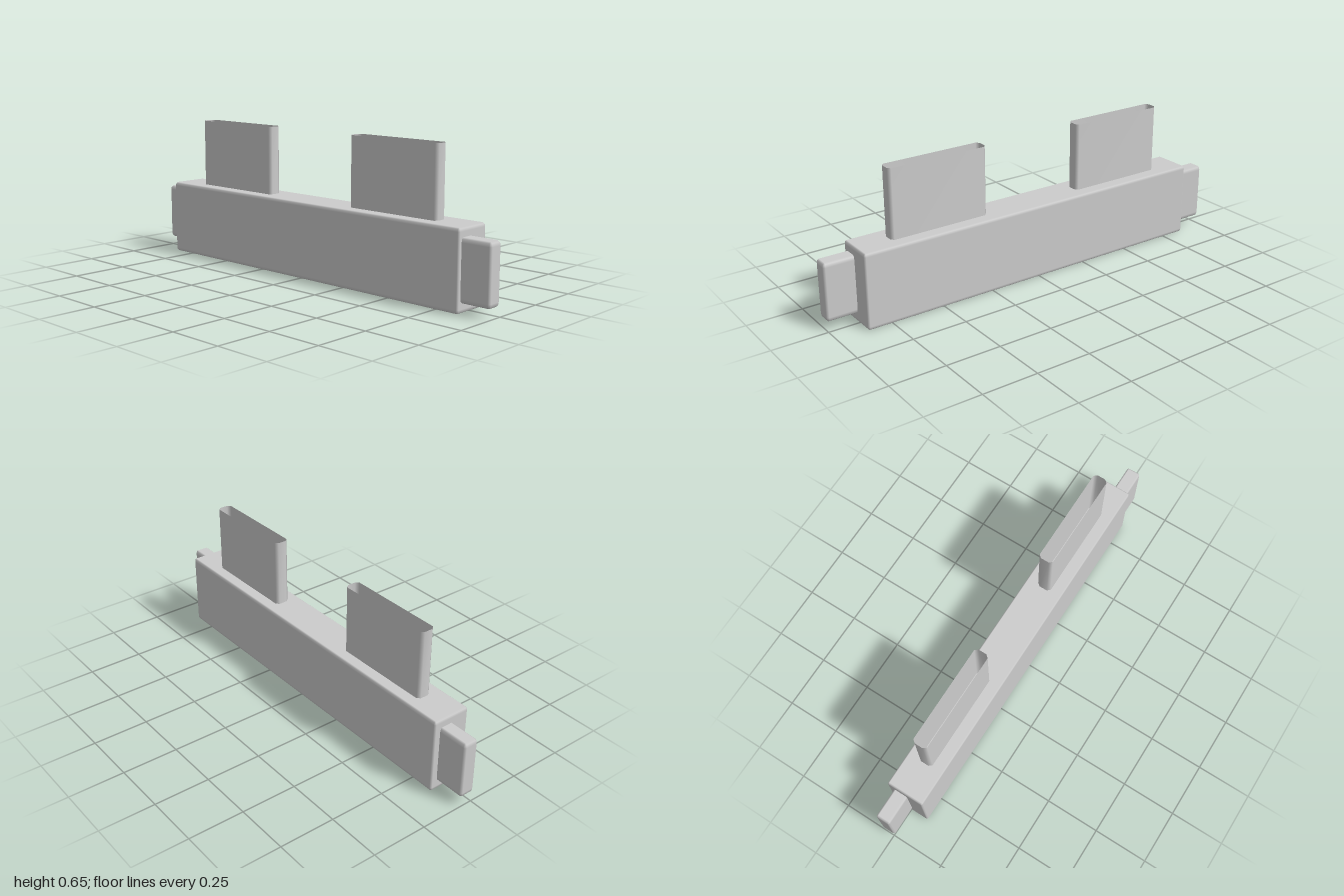
import * as THREE from 'three';
import { RoundedBoxGeometry } from 'three/addons/geometries/RoundedBoxGeometry.js';

const grey = new THREE.MeshStandardMaterial({ color: 0xcccccc });
grey.name = 'light grey';
const greySheet = new THREE.MeshStandardMaterial({ color: 0xcccccc, side: THREE.DoubleSide });
greySheet.name = 'light grey sheet';

// box with softened edges, the softening twice as tall as it is wide
function softBox(name, x0, x1, y0, y1, z0, z1, radius) {
  const geometry = new RoundedBoxGeometry(x1 - x0, (y1 - y0) / 2, z1 - z0, 1, radius);
  geometry.scale(1, 2, 1);
  const mesh = new THREE.Mesh(geometry, grey);
  mesh.name = name;
  mesh.position.set((x0 + x1) / 2, (y0 + y1) / 2, (z0 + z1) / 2);
  return mesh;
}

// thin open tube with a bevelled rectangular outline
function sleeveGeometry(halfX, halfZ, y0, y1, bevelX, bevelZ) {
  const a = halfX - bevelX, b = halfZ - bevelZ;
  const outline = [[halfX, -b], [halfX, b], [a, halfZ], [-a, halfZ],
    [-halfX, b], [-halfX, -b], [-a, -halfZ], [a, -halfZ]];
  const positions = [], index = [], n = outline.length;
  outline.forEach(([x, z], i) => {
    positions.push(x, y0, z, x, y1, z);
    const p = i * 2, q = ((i + 1) % n) * 2;
    index.push(p, p + 1, q, q, p + 1, q + 1);
  });
  const geometry = new THREE.BufferGeometry();
  geometry.setAttribute('position', new THREE.Float32BufferAttribute(positions, 3));
  geometry.setIndex(index);
  geometry.computeVertexNormals();
  return geometry;
}

export function createModel() {
  const model = new THREE.Group();
  model.name = 'barWithSleeves';

  // long body and the offset tab at each end
  model.add(softBox('body', -0.088, 0.088, 0, 0.343, -0.863, 0.863, 0.008));
  model.add(softBox('frontTab', -0.071, -0.003, 0.042, 0.304, 0.84, 1, 0.01));
  model.add(softBox('backTab', -0.01, 0.058, 0.042, 0.304, -1, -0.84, 0.01));

  // two open sleeves standing on the body
  const geometry = sleeveGeometry(0.033, 0.233, 0.34, 0.653, 0.014, 0.012);
  for (const side of [1, -1]) {
    const sleeve = new THREE.Mesh(geometry, greySheet);
    sleeve.name = side > 0 ? 'frontSleeve' : 'backSleeve';
    sleeve.position.set(0.001, 0, side * 0.475);
    model.add(sleeve);
  }
  return model;
}
